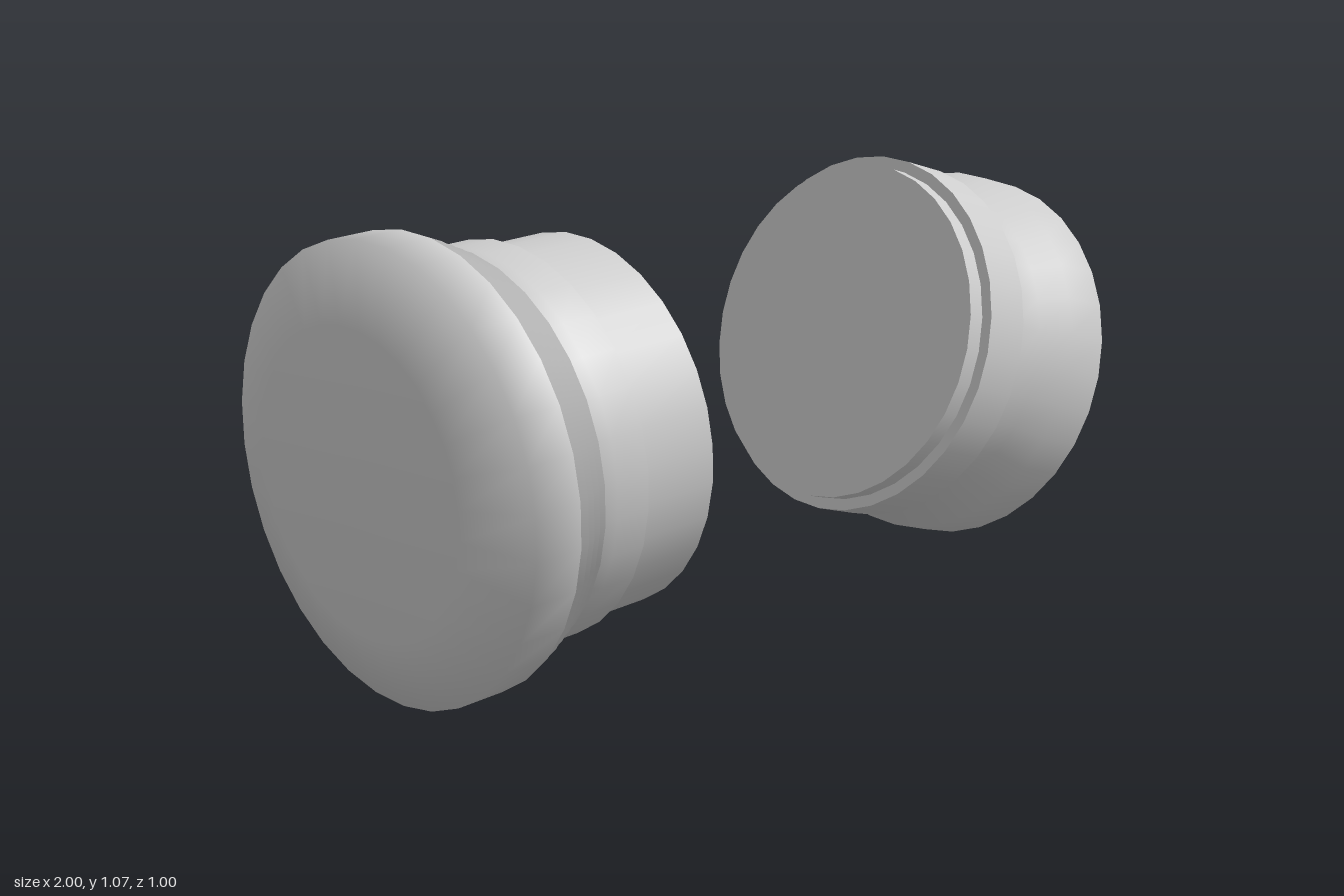
import * as THREE from 'three';
import { mergeGeometries } from 'three/addons/utils/BufferGeometryUtils.js';

const SEGMENTS = 32;
const plastic = new THREE.MeshStandardMaterial({ color: 0xcccccc });
plastic.name = 'light grey';

// Revolves [radius, height] runs; each run is smooth, and the joins between runs stay sharp
function turned(name, runs) {
  const parts = runs.map((run) =>
    new THREE.LatheGeometry(run.map(([r, t]) => new THREE.Vector2(r, t)), SEGMENTS));
  const mesh = new THREE.Mesh(mergeGeometries(parts), plastic);
  mesh.name = name;
  return mesh;
}

// Splits a profile into one sharp-edged run per step
const sharp = (points) => points.slice(1).map((p, i) => [points[i], p]);

// Lays the turning axis (+y) along the given slope in the xy plane
function place(group, x, y, degrees) {
  group.position.set(x, y, 0);
  group.rotation.z = THREE.MathUtils.degToRad(degrees - 90);
  return group;
}

function createSocket() {
  const socket = new THREE.Group();
  socket.name = 'socket';

  // Rounded closed end
  socket.add(turned('domedCap', [
    [[0, -0.61], [0.335, -0.61], [0.5, -0.55], [0.5, -0.435]],
    [[0.5, -0.435], [0.468, -0.43]],
  ]));

  // Four barbed rings stepping down towards the neck
  const barbs = [];
  for (let i = 0; i < 4; i++) {
    const t = -0.43 + i * 0.026;
    const r = 0.468 - i * 0.013;
    barbs.push([r, t], [r + 0.019, t + 0.026]);
  }
  barbs.push([0.425, -0.324]);
  socket.add(turned('barbedRings', sharp(barbs)));

  // Neck collar and open sleeve
  socket.add(turned('neckCollar', [
    [[0.425, -0.324], [0.438, -0.285], [0.438, -0.2]],
    [[0.438, -0.2], [0.418, -0.2]],
  ]));
  socket.add(turned('sleeve', sharp([[0.418, -0.2], [0.418, 0], [0.393, 0]])));

  // Stepped bore with a ledge and a wider groove at the bottom
  socket.add(turned('bore', sharp([
    [0.393, 0], [0.393, -0.21], [0.365, -0.21], [0.365, -0.32],
    [0.385, -0.32], [0.385, -0.39], [0.36, -0.39], [0.36, -0.48], [0, -0.48],
  ])));
  return place(socket, -0.36, 0.555, 5.5);
}

function createPlug() {
  const plug = new THREE.Group();
  plug.name = 'plug';

  // Narrow tip and raised band
  plug.add(turned('tip', sharp([[0, -0.447], [0.405, -0.447], [0.405, -0.405]])));
  plug.add(turned('raisedBand', sharp([
    [0.405, -0.405], [0.432, -0.405], [0.432, -0.286], [0.408, -0.286],
  ])));

  // Waisted body flaring to the wide flat end
  plug.add(turned('body', [
    [[0.408, -0.286], [0.403, -0.185], [0.446, -0.12], [0.447, 0]],
    [[0.447, 0], [0, 0]],
  ]));
  return place(plug, 0.89, 0.558, -14.25);
}

export function createModel() {
  const model = new THREE.Group();
  model.name = 'socketAndPlug';
  model.add(createSocket(), createPlug());
  return model;
}
